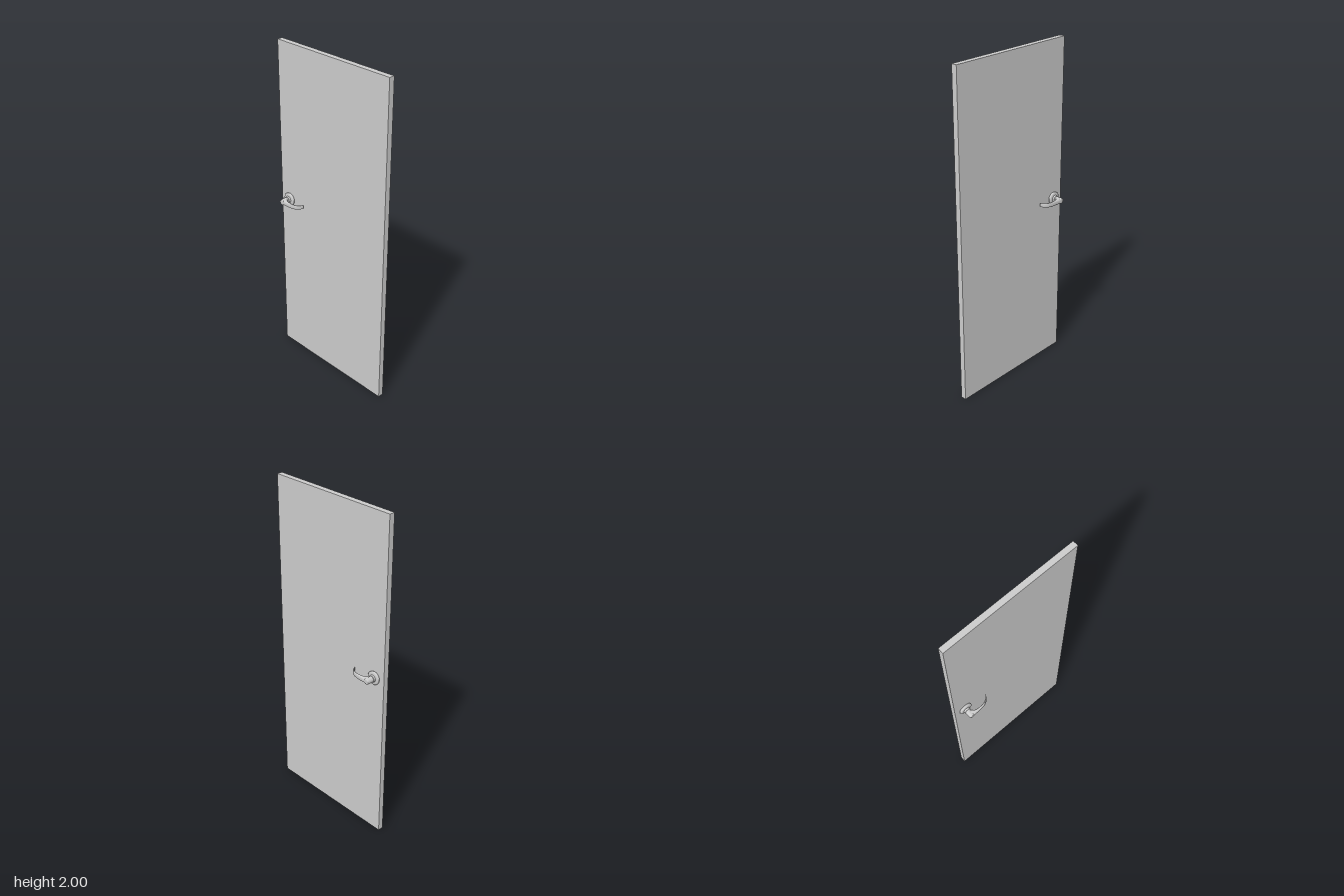
import * as THREE from 'three';

const HANDLE_X = -0.345, HANDLE_Y = 1.045, DOOR_HALF = 0.0167;

// Turned part whose axis runs along z; profile is a list of [radius, z]
function turned(profile) {
  return new THREE.LatheGeometry(profile.map(([r, z]) => new THREE.Vector2(r, z)), 48).rotateX(Math.PI / 2);
}

// Curved lever: rounded cross-sections spanning an outer and an inner edge curve
function leverGeometry() {
  const curve = (pts) => new THREE.CatmullRomCurve3(pts.map(([x, z]) => new THREE.Vector3(x, 0, z)));
  // [x, z] edges seen from above, relative to the spindle axis
  const outer = curve([[0, 0.0836], [0.025, 0.0838], [0.047, 0.083], [0.075, 0.0805],
    [0.1, 0.075], [0.119, 0.063], [0.13, 0.048], [0.135, 0.033]]);
  const inner = curve([[0, 0.044], [0.019, 0.052], [0.028, 0.063], [0.05, 0.069],
    [0.088, 0.0675], [0.111, 0.059], [0.126, 0.046], [0.134, 0.033]]);
  const steps = 48, sides = 24, pos = [], idx = [];
  const soften = (v) => Math.sign(v) * Math.pow(Math.abs(v), 0.75);
  for (let i = 0; i <= steps; i++) {
    const u = i / steps, a = outer.getPoint(u), b = inner.getPoint(u);
    const top = 0.017 - 0.002 * u, bottom = -0.017 + 0.010 * u;
    for (let j = 0; j < sides; j++) {
      const t = (j / sides) * Math.PI * 2, k = soften(Math.cos(t)) / 2, s = soften(Math.sin(t)) / 2;
      pos.push((a.x + b.x) / 2 + (a.x - b.x) * k,
        (top + bottom) / 2 + (top - bottom) * s,
        (a.z + b.z) / 2 + (a.z - b.z) * k);
    }
  }
  for (let i = 0; i < steps; i++) {
    for (let j = 0; j < sides; j++) {
      const n = (j + 1) % sides, p = i * sides, q = p + sides;
      idx.push(p + j, q + j, p + n, p + n, q + j, q + n);
    }
  }
  // Close the tip
  const last = steps * sides;
  for (let j = 1; j < sides - 1; j++) idx.push(last, last + j + 1, last + j);
  const g = new THREE.BufferGeometry();
  g.setAttribute('position', new THREE.Float32BufferAttribute(pos, 3));
  g.setIndex(idx);
  g.computeVertexNormals();
  return g;
}

// Mirror front to back and restore the winding
function mirrorZ(g) {
  const m = g.clone().scale(1, 1, -1), ix = m.index.array;
  for (let i = 0; i < ix.length; i += 3) [ix[i], ix[i + 1]] = [ix[i + 1], ix[i]];
  m.computeVertexNormals();
  return m;
}

export function createModel() {
  const model = new THREE.Group();
  model.name = 'door';
  const material = new THREE.MeshStandardMaterial({ color: 0xcccccc });
  const leverMaterial = new THREE.MeshStandardMaterial({ color: 0xcccccc, side: THREE.DoubleSide });

  // Plain door leaf
  const leaf = new THREE.Mesh(new THREE.BoxGeometry(0.829, 2, DOOR_HALF * 2), material);
  leaf.name = 'doorLeaf';
  leaf.position.y = 1;
  model.add(leaf);

  const parts = {
    // Round plate against the leaf
    rose: turned([[0.037, DOOR_HALF], [0.0385, 0.019], [0.04, 0.022], [0.0403, 0.0245], [0.0395, 0.027],
      [0.037, 0.0295], [0.033, 0.031], [0.026, 0.032], [0, 0.0325]]),
    // Collar between plate and lever
    collar: turned([[0.022, 0.031], [0.0212, 0.034], [0.02, 0.0355], [0.02, 0.041], [0.019, 0.0425], [0, 0.0425]]),
    // Hub that the lever grows out of
    hub: turned([[0.0175, 0.04], [0.0175, 0.06], [0.017, 0.079], [0.016, 0.082], [0.014, 0.0836], [0.011, 0.084], [0, 0.084]]),
    lever: leverGeometry(),
  };

  // Matching handle on each face
  for (const side of ['front', 'back']) {
    const handle = new THREE.Group();
    handle.name = side + 'Handle';
    handle.position.set(HANDLE_X, HANDLE_Y, 0);
    for (const [name, g] of Object.entries(parts)) {
      const mesh = new THREE.Mesh(side === 'front' ? g : mirrorZ(g), name === 'lever' ? leverMaterial : material);
      mesh.name = name;
      handle.add(mesh);
    }
    model.add(handle);
  }
  return model;
}
